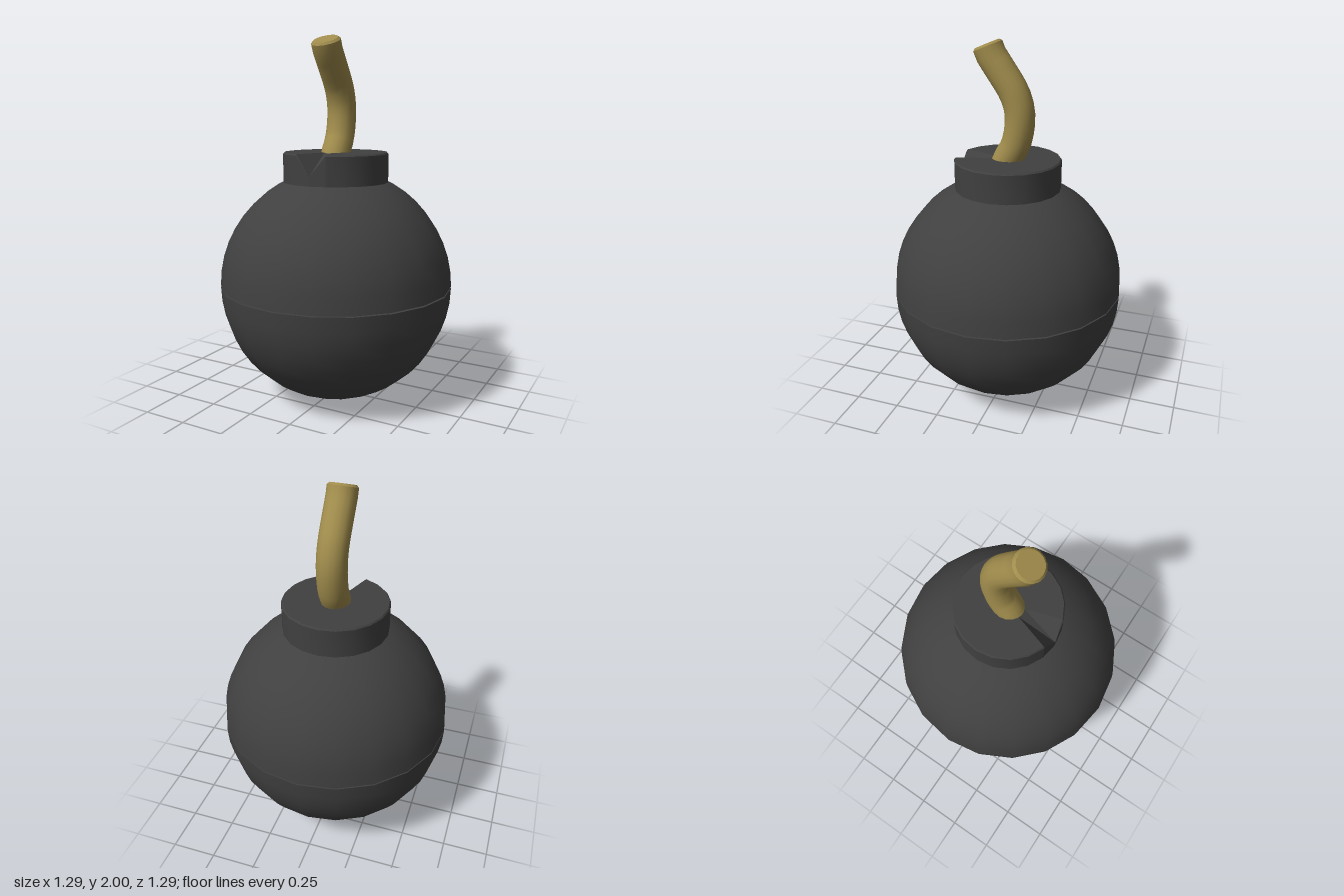
import * as THREE from 'three';
import { toCreasedNormals } from 'three/addons/utils/BufferGeometryUtils.js';

const SIDES = 20;
const STEP = (Math.PI * 2) / SIDES;

function addMesh(parent, name, geometry, material) {
  const mesh = new THREE.Mesh(geometry, material);
  mesh.name = name;
  parent.add(mesh);
  return mesh;
}

function lathe(profile, sides, start = 0, length = Math.PI * 2) {
  const points = profile.map(([r, y]) => new THREE.Vector2(r, y));
  return toCreasedNormals(new THREE.LatheGeometry(points, sides, start, length), 0.5);
}

// Ball: two hemispheres parted by a thin groove round the middle
function ballGeometry() {
  const R = 0.644, centre = 0.648, gap = 0.004, rings = 12;
  const lower = [], upper = [];
  for (let i = 0; i <= rings; i++) {
    const a = (i / rings) * Math.PI / 2;
    lower.push([R * Math.sin(a), centre - gap - (R - gap) * Math.cos(a)]);
    upper.push([R * Math.cos(a), centre + gap + (R - gap) * Math.sin(a)]);
  }
  return lathe([...lower, [0.625, centre - gap], [0.625, centre + gap], ...upper], SIDES);
}

// Facets that close the front of the collar around the chipped notch
function notchGeometry() {
  const at = (k, r, y) => [r * Math.sin(k * STEP), y, r * Math.cos(k * STEP)];
  const tip = at(0, 0.29, 1.27), foot = at(0, 0.29, 1.19);
  const triangles = [
    [tip, at(1, 0.084, 1.385), at(-1, 0.084, 1.385)],
    [[0, 1.385, 0], at(-1, 0.084, 1.385), at(1, 0.084, 1.385)],
  ];
  for (const s of [1, -1]) {
    const base = at(s, 0.29, 1.19), rim = at(s, 0.29, 1.377);
    const top = at(s, 0.283, 1.385), inner = at(s, 0.084, 1.385);
    for (const [a, b, c] of [[tip, foot, base], [tip, base, rim], [tip, rim, top], [tip, top, inner]]) {
      triangles.push(s > 0 ? [a, b, c] : [a, c, b]);
    }
  }
  const geometry = new THREE.BufferGeometry();
  geometry.setAttribute('position', new THREE.Float32BufferAttribute(triangles.flat(2), 3));
  geometry.computeVertexNormals();
  return geometry;
}

export function createModel() {
  const model = new THREE.Group();
  model.name = 'roundBomb';
  const iron = new THREE.MeshStandardMaterial({ color: 0x404040 });
  const cord = new THREE.MeshStandardMaterial({ color: 0xa08c4c });

  addMesh(model, 'ball', ballGeometry(), iron);

  // Collar with a small bevel, left open by two sides at the front for the notch
  const collar = new THREE.Group();
  collar.name = 'collar';
  model.add(collar);
  const collarProfile = [[0.29, 1.19], [0.29, 1.377], [0.283, 1.385], [0.084, 1.385], [0, 1.385]];
  addMesh(collar, 'collarRing', lathe(collarProfile, SIDES - 2, STEP, Math.PI * 2 - 2 * STEP), iron);
  addMesh(collar, 'collarNotch', notchGeometry(), iron);

  // Fuse: a cord bending back, then forward
  const fuse = new THREE.Group();
  fuse.name = 'fuse';
  model.add(fuse);
  const path = new THREE.CatmullRomCurve3([
    [0.015, 1.35], [0, 1.385], [-0.045, 1.467], [-0.067, 1.612],
    [-0.042, 1.72], [0.04, 1.85], [0.092, 1.925], [0.109, 1.966],
  ].map(([z, y]) => new THREE.Vector3(0, y, z)));
  addMesh(fuse, 'fuseCord', new THREE.TubeGeometry(path, 14, 0.08, 16), cord);

  // Bevelled end of the fuse
  const end = addMesh(fuse, 'fuseEnd', lathe([[0.08, 0], [0.068, 0.012], [0, 0.012]], 16), cord);
  end.position.copy(path.getPointAt(1));
  end.quaternion.setFromUnitVectors(new THREE.Vector3(0, 1, 0), path.getTangentAt(1));

  return model;
}
